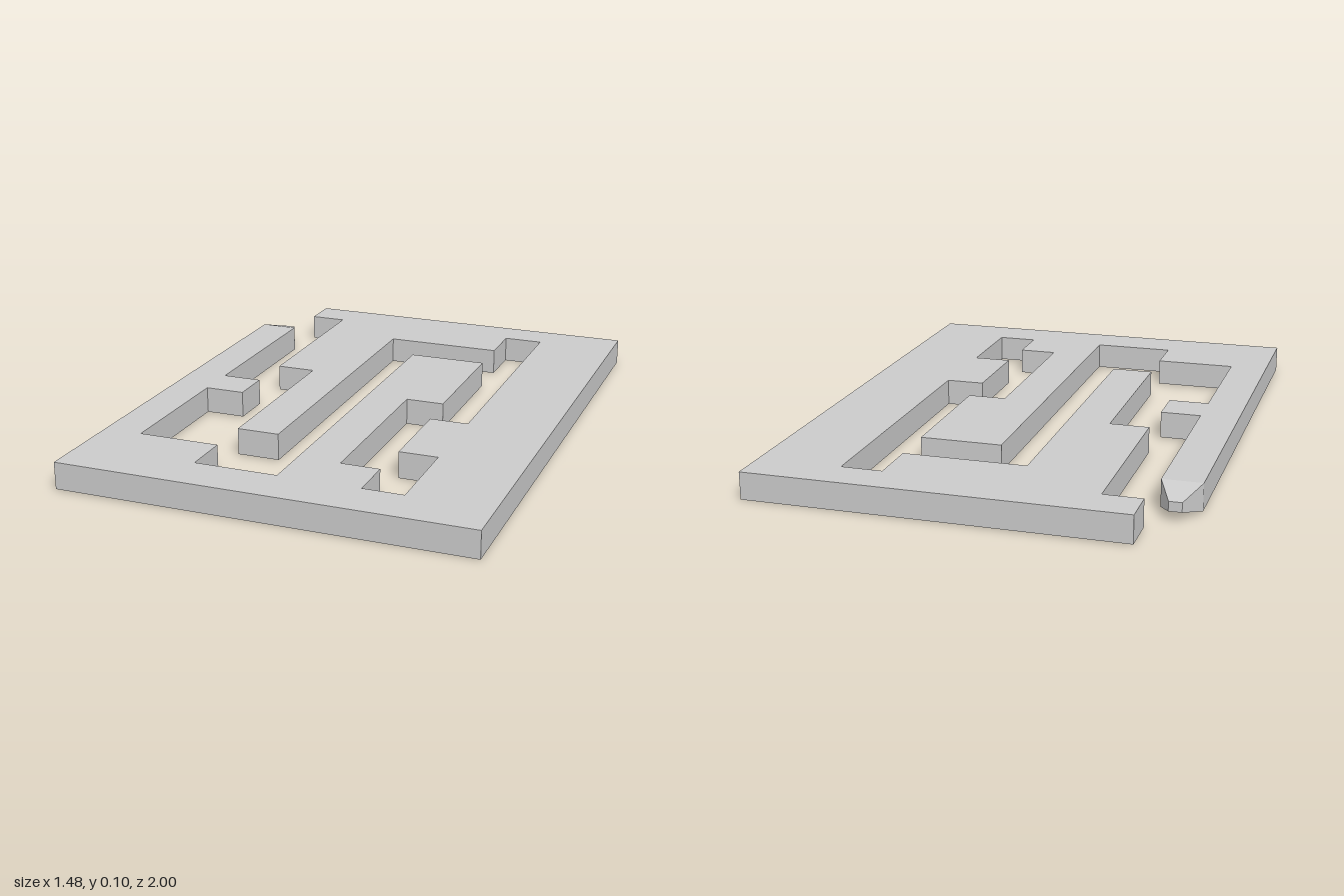
import * as THREE from 'three';

const T = 0.097; // plate thickness
const mat = new THREE.MeshStandardMaterial({ color: 0xcccccc, flatShading: true });

// The plate leans very slightly: its -x edge sits a touch higher
function lean(geo) {
  const p = geo.attributes.position;
  for (let i = 0; i < p.count; i++) p.setY(i, p.getY(i) + 0.0025 * (0.735 - p.getX(i)));
  geo.computeVertexNormals();
  return geo;
}

function addPart(group, name, geo) {
  const mesh = new THREE.Mesh(lean(geo), mat);
  mesh.name = name;
  group.add(mesh);
}

// Flat plate cut by one winding channel; outline as [x, z]
function plateGeometry() {
  const outline = [
    // outer rim
    [-0.74, -0.675], [-0.74, 1], [0.737, 1], [0.737, -1], [-0.587, -1], [-0.587, -0.86],
    // bar hanging from the back edge
    [-0.45, -0.86], [-0.45, -0.18], [-0.305, -0.18], [-0.305, 0.5], [-0.15, 0.5], [-0.15, -0.68],
    // channel along the inside of the wide side
    [0.29, -0.68], [0.29, -0.86], [0.437, -0.86], [0.437, 0.163], [0.296, 0.163], [0.296, 0.5],
    [0.437, 0.5], [0.437, 0.835], [0.291, 0.835], [0.291, 0.665], [0.15, 0.665],
    // bar rising from the front edge
    [0.15, 0], [0.291, 0], [0.291, -0.51], [-0.004, -0.51], [-0.004, 0.835],
    // inside of the narrow side with its small tooth
    [-0.303, 0.835], [-0.303, 0.665], [-0.6, 0.665], [-0.6, 0.153], [-0.453, 0.153], [-0.453, 0],
    [-0.6, 0], [-0.6, -0.675],
  ];
  const shape = new THREE.Shape(outline.map(([x, z]) => new THREE.Vector2(x, z)));
  const geo = new THREE.ExtrudeGeometry(shape, { depth: T, bevelEnabled: false });
  return geo.rotateX(Math.PI / 2).translate(0, T, 0);
}

// Blunt point: a box whose back face shrinks in width and height
function tipGeometry() {
  const geo = new THREE.BoxGeometry(0.14, T, 0.108);
  const p = geo.attributes.position;
  for (let i = 0; i < p.count; i++) {
    if (p.getZ(i) < 0) p.setXY(i, p.getX(i) * 0.32, p.getY(i) * 0.35);
  }
  return geo.translate(-0.67, T / 2, -0.675 - 0.054);
}

export function createModel() {
  const model = new THREE.Group();
  model.name = 'mazePlate';
  addPart(model, 'plate', plateGeometry());
  addPart(model, 'pointedTip', tipGeometry());
  return model;
}
